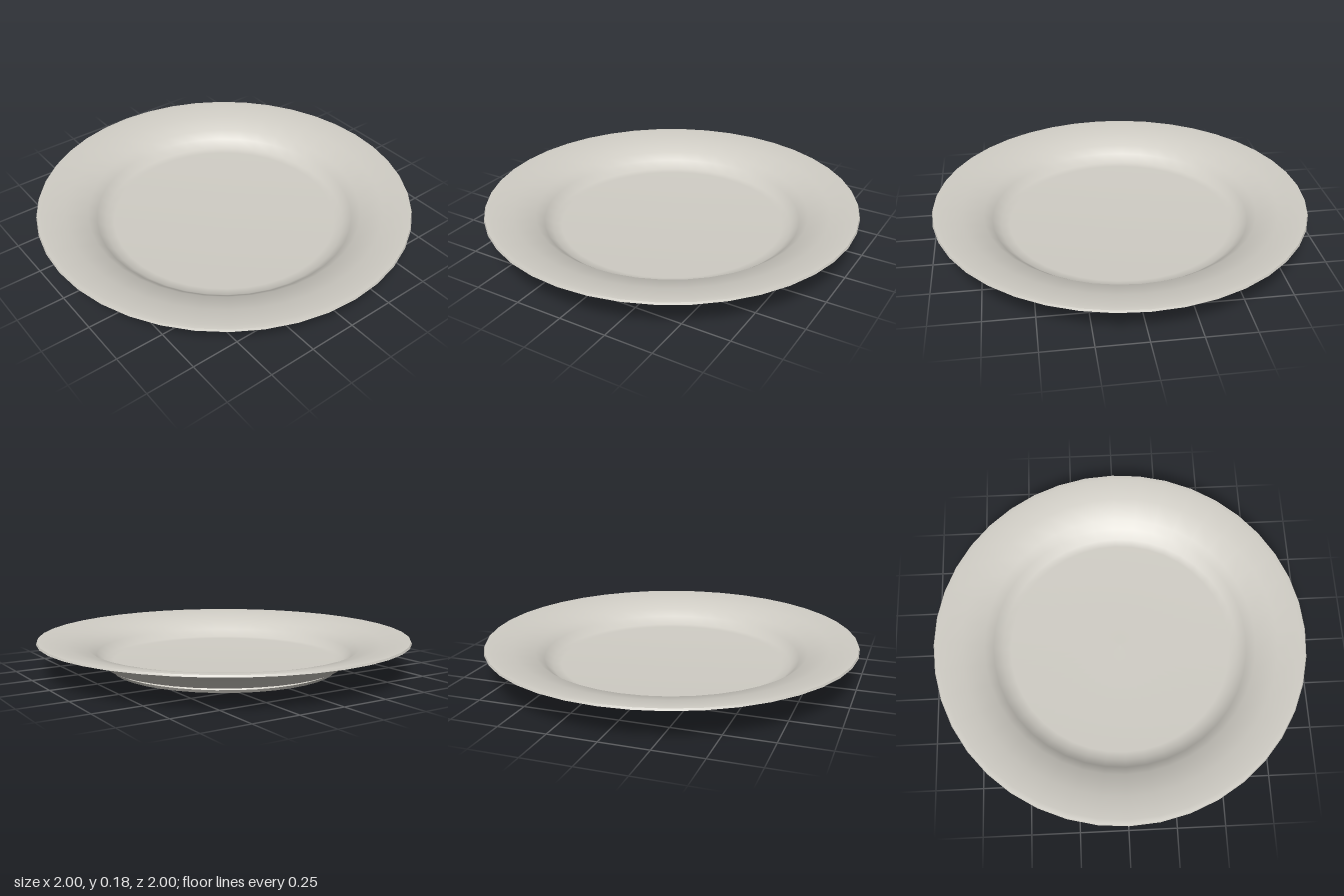
import * as THREE from 'three';
import { toCreasedNormals } from 'three/addons/utils/BufferGeometryUtils.js';

const SEGMENTS = 40;

// Revolve a closed or open list of [radius, height] points, keeping sharp corners
function turned(name, points, material) {
  const profile = points.map(([r, y]) => new THREE.Vector2(r, y));
  const geometry = toCreasedNormals(new THREE.LatheGeometry(profile, SEGMENTS), 0.65);
  const mesh = new THREE.Mesh(geometry, material);
  mesh.name = name;
  return mesh;
}

export function createModel() {
  const group = new THREE.Group();
  group.name = 'plate';
  const ceramic = new THREE.MeshStandardMaterial({ color: 0xd0cdc5 });
  ceramic.name = 'warm grey ceramic';

  // Dish: underside, sloped wall, wide rim, then back down into the well
  group.add(turned('dish', [
    [0, 0.03], [0.55, 0.03], [0.65, 0.037], [0.69, 0.075], [0.745, 0.118],
    [1, 0.17], [0.995, 0.18], [0.97, 0.182],
    [0.85, 0.158], [0.735, 0.13], [0.69, 0.095], [0.645, 0.056], [0.6, 0.053], [0, 0.053],
  ], ceramic));

  // Foot ring under the well
  group.add(turned('footRing', [
    [0.55, 0.032], [0.565, 0.002], [0.585, 0], [0.605, 0.004], [0.615, 0.02], [0.6, 0.036],
  ], ceramic));

  return group;
}
